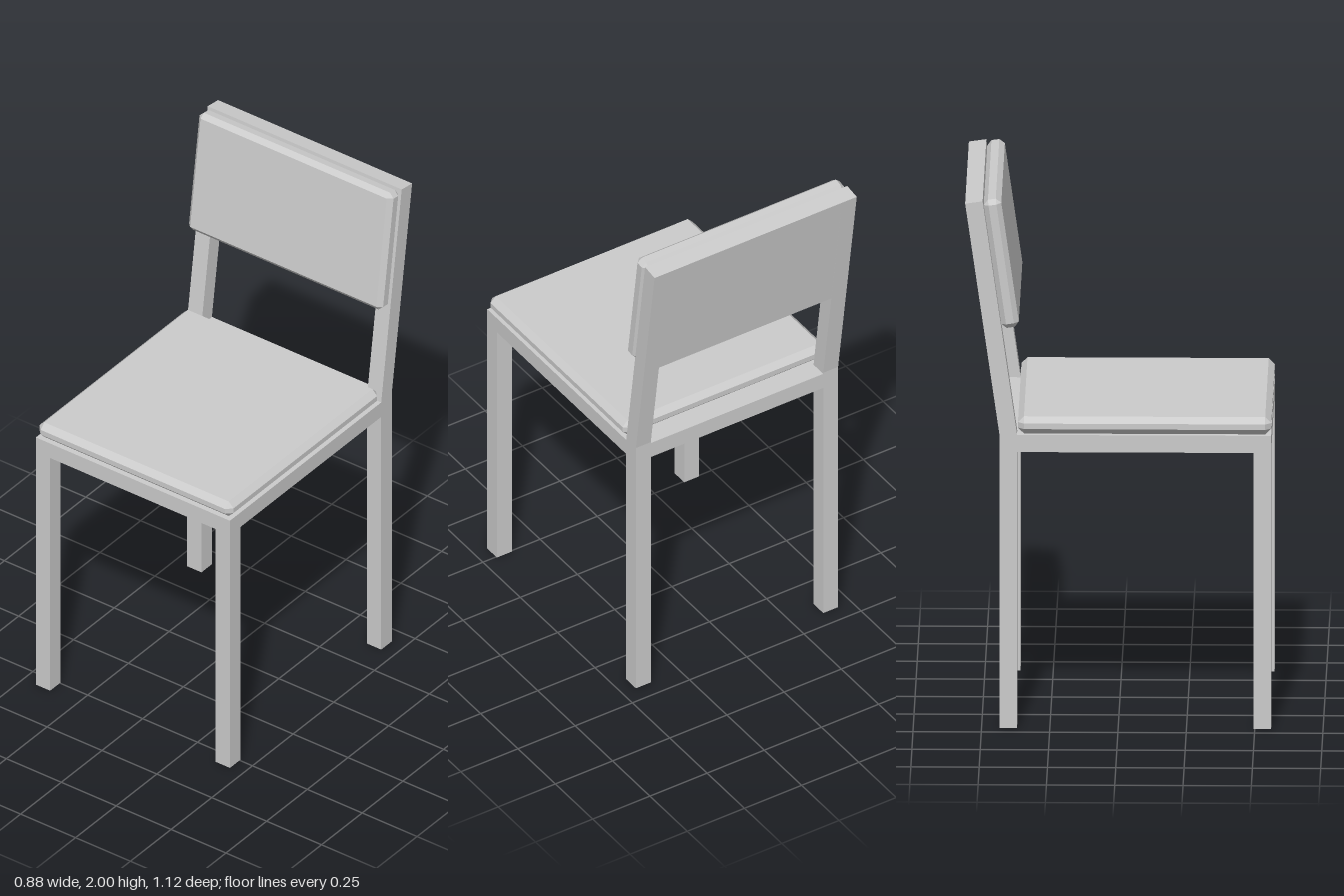
import * as THREE from 'three';
import { ConvexGeometry } from 'three/addons/geometries/ConvexGeometry.js';

const material = new THREE.MeshStandardMaterial({ color: 0xcccccc, flatShading: true });
const HALF = 0.442; // half the chair's width
const BAR = 0.065; // thickness of the frame bars

function addMesh(group, name, geometry) {
  const mesh = new THREE.Mesh(geometry, material);
  mesh.name = name;
  group.add(mesh);
  return mesh;
}

// Side profile given as [z, y] points, extruded across x from x0 to x1
function extrudeAcross(points, x0, x1) {
  const shape = new THREE.Shape(points.map(([z, y]) => new THREE.Vector2(z, y)));
  const geometry = new THREE.ExtrudeGeometry(shape, { depth: x1 - x0, bevelEnabled: false });
  return geometry.rotateY(-Math.PI / 2).translate(x1, 0, 0);
}

// Box with every edge and corner cut off by c
function chamferedBox(w, h, d, c) {
  const points = [];
  for (const sx of [-1, 1]) for (const sy of [-1, 1]) for (const sz of [-1, 1]) {
    for (let axis = 0; axis < 3; axis++) {
      const cut = [c, c, c];
      cut[axis] = 0;
      points.push(new THREE.Vector3(sx * (w / 2 - cut[0]), sy * (h / 2 - cut[1]), sz * (d / 2 - cut[2])));
    }
  }
  return new ConvexGeometry(points);
}

export function createModel() {
  const chair = new THREE.Group();
  chair.name = 'chair';

  // Side frames: front leg, seat rail, and rear leg bending into the leaning back post
  const side = [
    [0.56, 0], [0.56, 1.11], [-0.37, 1.11], [-0.496, 1.994], [-0.56, 1.985],
    [-0.435, 1.115], [-0.435, 0], [-0.37, 0], [-0.37, 1.045], [0.495, 1.045], [0.495, 0],
  ];
  addMesh(chair, 'rightSideFrame', extrudeAcross(side, -HALF, -HALF + BAR));
  addMesh(chair, 'leftSideFrame', extrudeAcross(side, HALF - BAR, HALF));

  // Seat board and back board between the side frames
  const inner = HALF - BAR;
  addMesh(chair, 'seatBoard', extrudeAcross(
    [[0.56, 1.045], [0.56, 1.11], [-0.435, 1.11], [-0.435, 1.045]], -inner, inner));
  addMesh(chair, 'backBoard', extrudeAcross(
    [[-0.426, 1.505], [-0.496, 1.994], [-0.56, 1.985], [-0.489, 1.495]], -inner, inner));

  // Cushions with chamfered edges
  const seat = addMesh(chair, 'seatCushion', chamferedBox(2 * HALF, BAR, 0.927, 0.022));
  seat.position.set(0, 1.1425, 0.0965);
  const back = addMesh(chair, 'backCushion', chamferedBox(2 * HALF, 0.49, BAR, 0.018));
  back.position.set(0, 1.755, -0.428);
  back.rotation.x = -Math.atan2(0.126, 0.884);

  return chair;
}
